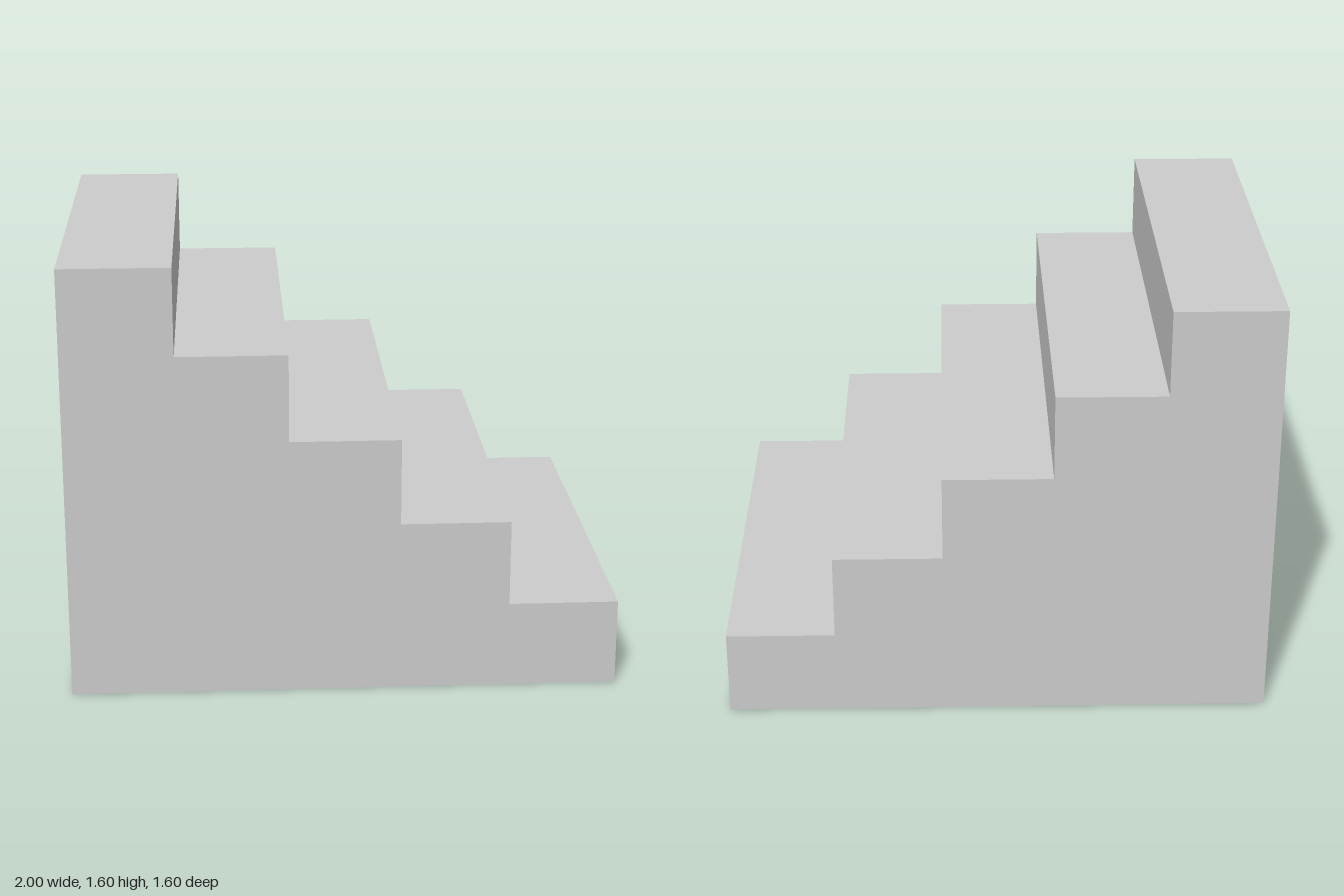
import * as THREE from 'three';

const STEPS = 5;
const TREAD = 0.4; // depth of each step along x
const RISER = 0.32; // height of each step
const WIDTH = 1.6; // along z

export function createModel() {
  const group = new THREE.Group();
  group.name = 'staircase';

  // Stepped side profile, counter-clockwise: base, then up the steps towards -x
  const profile = new THREE.Shape();
  profile.moveTo(-1, 0);
  profile.lineTo(1, 0);
  for (let i = 0; i < STEPS; i++) {
    const y = (i + 1) * RISER;
    profile.lineTo(1 - i * TREAD, y);
    profile.lineTo(1 - (i + 1) * TREAD, y);
  }
  profile.closePath();

  // One solid block of steps, centred on z
  const geometry = new THREE.ExtrudeGeometry(profile, { depth: WIDTH, bevelEnabled: false });
  geometry.translate(0, 0, -WIDTH / 2);

  const material = new THREE.MeshStandardMaterial({ color: 0xcccccc, flatShading: true });
  const steps = new THREE.Mesh(geometry, material);
  steps.name = 'steps';
  group.add(steps);
  return group;
}
